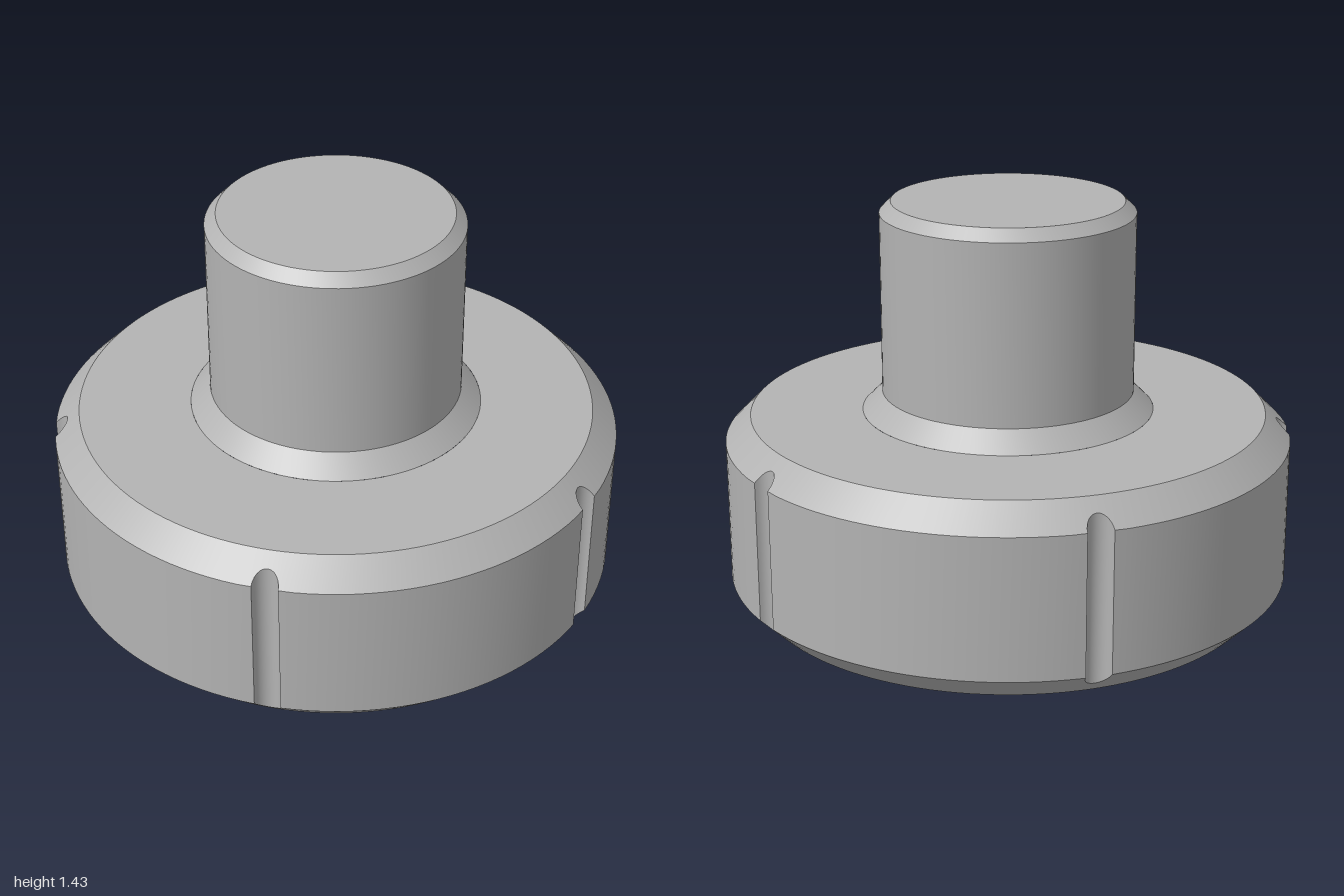
import * as THREE from 'three';
import { toCreasedNormals } from 'three/addons/utils/BufferGeometryUtils.js';

const CREASE = 0.5;
const RIM = 0.91, HEIGHT = 0.68, CHAMFER = 0.09;
const GROOVES = 5, GROOVE_R = 0.045, FIRST = 0.086;

// Outer outline seen from above, as [angle, radius]: a circle with round notches
function outline() {
  const pts = [], pitch = (Math.PI * 2) / GROOVES, half = Math.asin(GROOVE_R), arc = 24;
  for (let k = 0; k < GROOVES; k++) {
    const mid = FIRST + k * pitch;
    for (let i = 0; i <= 12; i++) {
      const p = Math.PI * (1 - i / 12);
      const x = GROOVE_R * Math.cos(p), z = 0.998 - GROOVE_R * Math.sin(p);
      pts.push([mid + Math.atan2(x, z), Math.min(1, Math.hypot(x, z))]);
    }
    for (let i = 1; i < arc; i++) pts.push([mid + half + (pitch - 2 * half) * (i / arc), 1]);
  }
  return pts;
}

// Chamfered cap with grooves in its wall and a round recess underneath
function capGeometry() {
  const cols = outline(), pos = [], idx = [];
  let n = 0;
  for (const [a, r] of cols) {
    const cut = CHAMFER - (1 - r); // height at which the groove meets the 45 degree chamfer
    const profile = [[0, 0.155], [0.87, 0.155], [0.87, 0], [RIM, 0], [r, cut],
      [r, HEIGHT - cut], [RIM, HEIGHT], [0.515, HEIGHT]];
    n = profile.length;
    for (const [pr, y] of profile) pos.push(pr * Math.sin(a), y, pr * Math.cos(a));
  }
  for (let j = 0; j < cols.length; j++) {
    const p = j * n, q = ((j + 1) % cols.length) * n;
    for (let i = 0; i < n - 1; i++) {
      if (i > 0) idx.push(p + i, q + i, q + i + 1);
      idx.push(p + i, q + i + 1, p + i + 1);
    }
  }
  const geo = new THREE.BufferGeometry();
  geo.setAttribute('position', new THREE.Float32BufferAttribute(pos, 3));
  geo.setIndex(idx);
  return toCreasedNormals(geo, CREASE);
}

function turned(profile) {
  const pts = profile.map(([r, y]) => new THREE.Vector2(r, y));
  return toCreasedNormals(new THREE.LatheGeometry(pts, 96), CREASE);
}

export function createModel() {
  const group = new THREE.Group();
  const grey = new THREE.MeshStandardMaterial({ color: 0xb3b3b3 });
  grey.name = 'plain grey';
  const add = (name, geo) => {
    const mesh = new THREE.Mesh(geo, grey);
    mesh.name = name;
    group.add(mesh);
  };
  add('groovedCap', capGeometry());
  // Sloped collar at the foot of the stem
  add('collar', turned([[0.515, HEIGHT], [0.445, 0.75]]));
  // Stem with a bevelled top
  add('stem', turned([[0.445, 0.75], [0.445, 1.39], [0.405, 1.43], [0, 1.43]]));
  return group;
}
